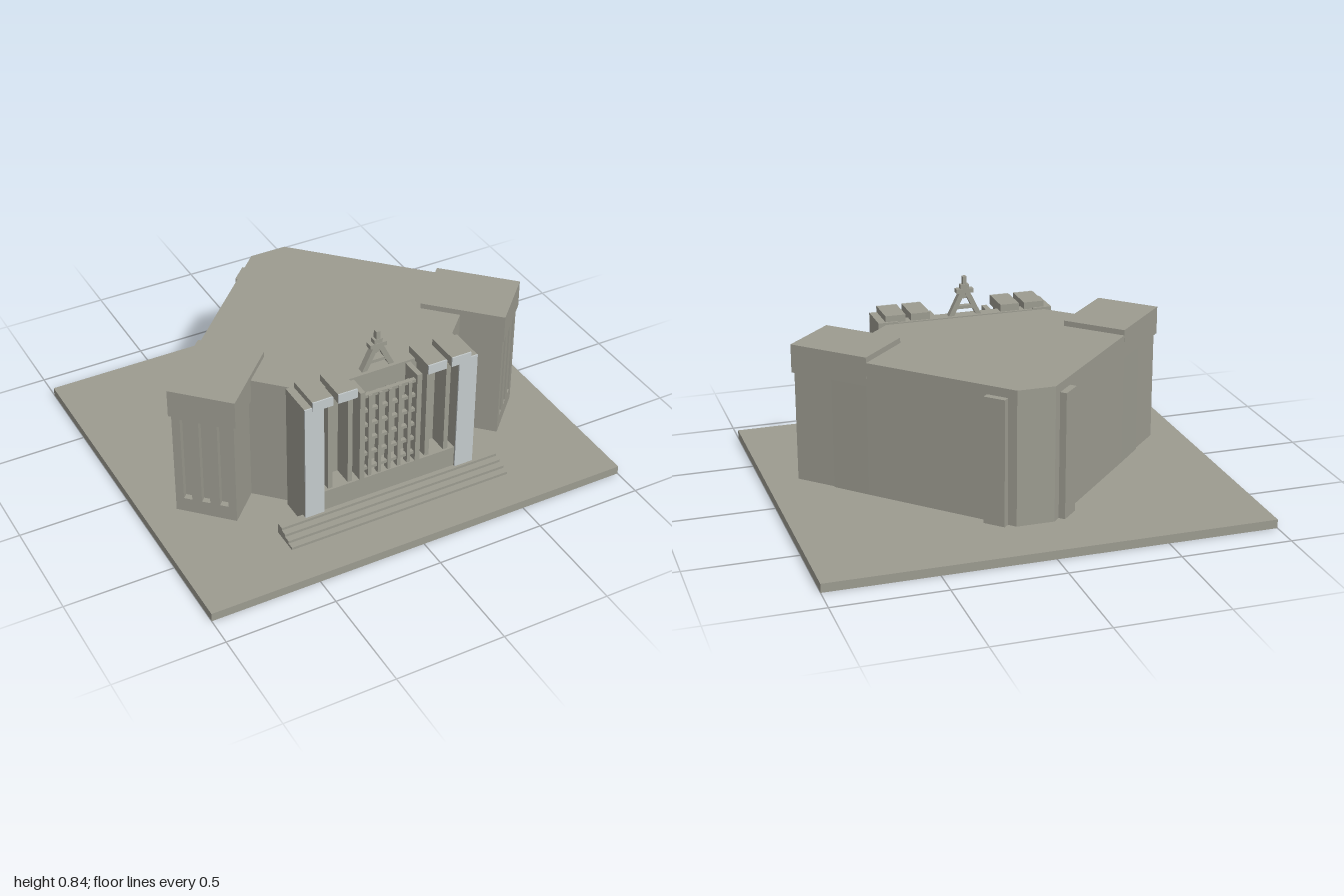
import * as THREE from 'three';

export function createModel() {
  const model = new THREE.Group();
  model.name = 'monumentalBuilding';
  const stone = new THREE.MeshStandardMaterial({ color: 0x9c9b90 });
  stone.name = 'warm grey stone';
  const pale = new THREE.MeshStandardMaterial({ color: 0xc4cacc });
  pale.name = 'pale blue grey';

  const add = (name, geometry, material = stone, parent = model) => {
    const mesh = new THREE.Mesh(geometry, material);
    mesh.name = name;
    parent.add(mesh);
    return mesh;
  };
  // Box given by its limits on each axis
  const box = (name, x0, x1, y0, y1, z0, z1, material, parent) => {
    const g = new THREE.BoxGeometry(Math.abs(x1 - x0), y1 - y0, z1 - z0);
    g.translate((x0 + x1) / 2, (y0 + y1) / 2, (z0 + z1) / 2);
    return add(name, g, material, parent);
  };

  box('basePlate', -1, 1, 0, 0.04, -0.865, 0.865);

  // Main hall: a faceted plan raised to the roof
  const half = [[0.085, -0.59], [0.595, -0.07], [0.72, 0.06], [0.52, 0.26], [0.37, 0.41]];
  const plan = [...half, ...half.map(([x, z]) => [-x, z]).reverse()];
  const hall = new THREE.ExtrudeGeometry(
    new THREE.Shape(plan.map(([x, z]) => new THREE.Vector2(x, -z))),
    { depth: 0.615, bevelEnabled: false });
  hall.rotateX(-Math.PI / 2);
  hall.translate(0, 0.04, 0);
  add('mainHall', hall);

  for (const s of [-1, 1]) {
    // Corner tower turned 45 degrees, with an overhanging cap
    const tower = new THREE.Group();
    tower.name = s > 0 ? 'leftTower' : 'rightTower';
    tower.position.set(s * 0.625, 0, 0.17);
    tower.rotation.y = s * Math.PI / 4;
    model.add(tower);
    box('towerCap', -0.149, 0.149, 0.55, 0.68, -0.191, 0.191, stone, tower);
    box('towerBody', -0.138, 0.138, 0.04, 0.55, -0.18, 0.155, stone, tower);

    // Front wall of the tower with three tall slots
    const wall = new THREE.Shape();
    wall.moveTo(-0.138, 0.04).lineTo(0.138, 0.04).lineTo(0.138, 0.55).lineTo(-0.138, 0.55);
    for (const c of [-0.082, 0, 0.082]) {
      const slot = new THREE.Path();
      slot.moveTo(c - 0.019, 0.11).lineTo(c - 0.019, 0.535)
        .lineTo(c + 0.019, 0.535).lineTo(c + 0.019, 0.11);
      wall.holes.push(slot);
    }
    const wallGeo = new THREE.ExtrudeGeometry(wall, { depth: 0.028, bevelEnabled: false });
    wallGeo.translate(0, 0, 0.155);
    add('slottedWall', wallGeo, stone, tower);

    // Rear pilaster on the slanted wall
    const rear = box('rearPilaster', -0.05, 0.05, 0.04, 0.615, -0.03, 0.03);
    rear.position.set(s * 0.15, 0, -0.525);
    rear.rotation.y = s * -Math.PI / 4;

    // Entrance pylon and the two roof blocks
    box('pylon', s * 0.325, s * 0.415, 0.04, 0.665, 0.4, 0.565);
    box('pylonFace', s * 0.325, s * 0.415, 0.09, 0.665, 0.565, 0.571, pale);
    for (const [a, b] of [[0.285, 0.38], [0.17, 0.26]]) {
      box('roofBlock', s * a, s * b, 0.648, 0.693, 0.41, 0.569);
      box('roofBlockFace', s * a, s * b, 0.648, 0.693, 0.569, 0.575, pale);
    }

    // Facade columns
    for (const [x, w, z] of [[0.285, 0.022, 0.55], [0.19, 0.022, 0.55], [0.137, 0.024, 0.56]])
      box('facadeColumn', s * (x - w / 2), s * (x + w / 2), 0.19, 0.65, 0.45, z);
  }

  // Recessed entrance wall and its plinth
  box('entranceWall', -0.325, 0.325, 0.04, 0.66, 0.4, 0.46);
  box('entrancePlinth', -0.325, 0.325, 0.04, 0.19, 0.46, 0.56);

  // Window lattice
  for (let i = -2; i <= 2; i++)
    box('latticePost', i * 0.048 - 0.008, i * 0.048 + 0.008, 0.19, 0.62, 0.525, 0.555);
  for (let i = 0; i < 6; i++)
    box('latticeRail', -0.125, 0.125, 0.222 + i * 0.077, 0.237 + i * 0.077, 0.53, 0.548);

  // Entrance steps
  for (let i = 0; i < 4; i++)
    box('step', -0.535, 0.535, 0.04 + i * 0.0125, 0.0525 + i * 0.0125, 0.545, 0.675 - i * 0.031);

  // Roof emblem: splayed legs, braces and a mast
  const emblem = new THREE.Group();
  emblem.name = 'roofEmblem';
  model.add(emblem);
  for (const s of [-1, 1]) {
    const leg = new THREE.Shape();
    leg.moveTo(s * 0.08, 0.655).lineTo(s * 0.055, 0.655).lineTo(0, 0.765)
      .lineTo(s * 0.012, 0.79).lineTo(s * 0.026, 0.765);
    const g = new THREE.ExtrudeGeometry(leg, { depth: 0.03, bevelEnabled: false });
    g.translate(0, 0, 0.415);
    add('emblemLeg', g, stone, emblem);
  }
  box('emblemBrace', -0.05, 0.05, 0.69, 0.705, 0.417, 0.443, stone, emblem);
  box('emblemCrossbar', -0.04, 0.04, 0.765, 0.785, 0.414, 0.446, stone, emblem);
  box('emblemCollar', -0.02, 0.02, 0.785, 0.805, 0.416, 0.444, stone, emblem);
  box('emblemMast', -0.009, 0.009, 0.74, 0.843, 0.418, 0.442, stone, emblem);

  return model;
}
